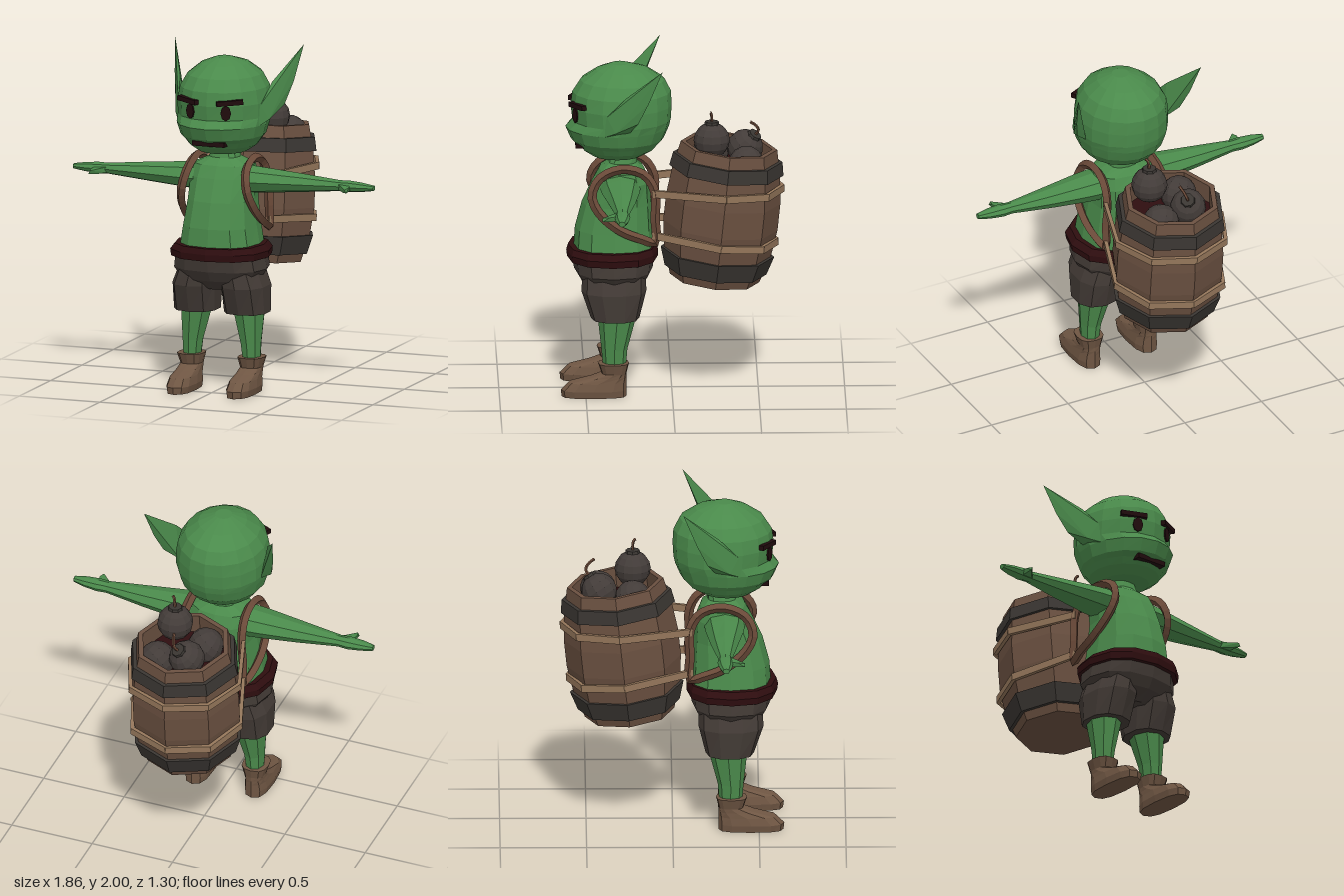
import * as THREE from 'three';
import { ConvexGeometry } from 'three/addons/geometries/ConvexGeometry.js';

const paint = (name, color) => Object.assign(new THREE.MeshStandardMaterial({ color }), { name });
const V = (x, y, z) => new THREE.Vector3(x, y, z);

// Faceted normals for the low-poly look
function flat(g) {
  const out = g.index ? g.toNonIndexed() : g;
  out.computeVertexNormals();
  return out;
}

// Skin through horizontal rings, bottom to top: [y, centreX, radiusX, backZ, frontZ]
function loft(rings, n = 12, power = 1) {
  const pos = [], idx = [];
  const soft = (v) => Math.sign(v) * Math.abs(v) ** power;
  for (const [y, cx, rx, zb, zf] of rings) {
    for (let i = 0; i < n; i++) {
      const a = (i / n) * Math.PI * 2;
      pos.push(cx + rx * soft(Math.sin(a)), y, (zb + zf) / 2 + ((zf - zb) / 2) * soft(Math.cos(a)));
    }
  }
  const last = rings.length - 1;
  for (let r = 0; r < last; r++) {
    for (let i = 0; i < n; i++) {
      const j = (i + 1) % n, a = r * n + i, b = r * n + j;
      idx.push(a, b, b + n, a, b + n, a + n);
    }
  }
  for (const r of [0, last]) {
    const [y, cx, , zb, zf] = rings[r], c = pos.length / 3;
    pos.push(cx, y, (zb + zf) / 2);
    for (let i = 0; i < n; i++) {
      const a = r * n + i, b = r * n + ((i + 1) % n);
      if (r) idx.push(c, a, b); else idx.push(c, b, a);
    }
  }
  const g = new THREE.BufferGeometry();
  g.setAttribute('position', new THREE.Float32BufferAttribute(pos, 3));
  g.setIndex(idx);
  return flat(g);
}

// Eight-sided turned shape from [radius, y] pairs
const turned = (pts) => flat(new THREE.LatheGeometry(pts.map(([r, y]) => new THREE.Vector2(r, y)), 8));

const tube = (pts, segments, radius, sides, closed = false) =>
  flat(new THREE.TubeGeometry(new THREE.CatmullRomCurve3(pts, closed), segments, radius, sides, closed));

export function createModel() {
  const model = new THREE.Group();
  model.name = 'goblinWithBarrel';
  const skin = paint('green skin', 0x4a8a4b);
  const dark = paint('eye black', 0x200b0d);
  const maroon = paint('belt maroon', 0x2e0d0f);
  const cloth = paint('shorts grey brown', 0x423a35);
  const boot = paint('boot brown', 0x6f5643);
  const leather = paint('strap leather', 0x6b4a39);
  const wood = paint('barrel wood', 0x6a5040);
  const rope = paint('light strap', 0x94765a);
  const iron = paint('barrel iron', 0x3a3632);
  const bombGrey = paint('bomb grey', 0x433c39);

  const add = (name, geometry, material, parent = model) => {
    const m = new THREE.Mesh(geometry, material);
    m.name = name;
    parent.add(m);
    return m;
  };

  // Head with overhanging muzzle
  add('head', loft([
    [1.4, 0, 0.14, 0.17, 0.46], [1.44, 0, 0.2, 0.1, 0.52], [1.475, 0, 0.225, 0.07, 0.55],
    [1.5, 0, 0.245, 0.045, 0.585], [1.57, 0, 0.265, 0.015, 0.615], [1.615, 0, 0.27, 0.005, 0.575],
    [1.7, 0, 0.27, 0, 0.585], [1.78, 0, 0.255, 0.005, 0.575], [1.85, 0, 0.215, 0.04, 0.53],
    [1.91, 0, 0.14, 0.13, 0.44], [1.945, 0, 0.05, 0.25, 0.35],
  ], 16), skin);
  add('mouth', flat(new THREE.BoxGeometry(0.2, 0.028, 0.05)), dark).position.set(0, 1.474, 0.533);

  // Neck and torso
  add('torso', loft([
    [0.82, 0, 0.24, 0.1, 0.57], [0.97, 0, 0.215, 0.11, 0.56], [1.12, 0, 0.195, 0.12, 0.52],
    [1.25, 0, 0.195, 0.13, 0.46], [1.32, 0, 0.18, 0.16, 0.42], [1.36, 0, 0.09, 0.2, 0.37],
    [1.43, 0, 0.07, 0.2, 0.35],
  ], 12, 0.8), skin);
  add('belt', loft([[0.79, 0, 0.29, 0.08, 0.605], [0.83, 0, 0.295, 0.08, 0.61], [0.865, 0, 0.265, 0.09, 0.6]], 12, 0.85), maroon);
  add('hips', loft([
    [0.6, 0, 0.08, 0.2, 0.46], [0.66, 0, 0.24, 0.14, 0.53], [0.72, 0, 0.28, 0.11, 0.565], [0.81, 0, 0.265, 0.1, 0.58],
  ], 12, 0.85), cloth);

  for (const s of [1, -1]) {
    const side = s > 0 ? 'left' : 'right';

    // Face details
    const eye = add(side + 'Eye', flat(new THREE.CylinderGeometry(0.045, 0.045, 0.009, 8).rotateX(Math.PI / 2)), dark);
    eye.scale.x = 0.68;
    eye.position.set(s * 0.11, 1.663, 0.56);
    eye.rotation.y = s * 0.43;
    const brow = add(side + 'Brow', flat(new THREE.BoxGeometry(0.155, 0.028, 0.03)), dark);
    brow.position.set(s * 0.13, 1.724, 0.548);
    brow.rotation.set(0, s * 0.5, s * 0.06);

    // Long swept-back ear
    add(side + 'Ear', new ConvexGeometry([
      V(0.24, 1.56, 0.41), V(0.255, 1.69, 0.38), V(0.285, 1.81, 0.27), V(0.4, 2, 0.06),
      V(0.37, 1.8, 0.14), V(0.335, 1.67, 0.2), V(0.25, 1.59, 0.25), V(0.29, 1.6, 0.33),
    ].map((p) => V(s * p.x, p.y, p.z))), skin);

    // Arm, hand and thumb
    const arm = loft([
      [0.12, 0, 0.085, 0.18, 0.42], [0.25, 0, 0.075, 0.19, 0.41], [0.48, 0, 0.055, 0.22, 0.375],
      [0.72, 0, 0.032, 0.26, 0.34], [0.78, 0, 0.034, 0.255, 0.345], [0.86, 0, 0.027, 0.265, 0.34],
      [0.93, 0, 0.016, 0.285, 0.325],
    ], 8).rotateZ(-s * Math.PI / 2).translate(0, 1.235, 0);
    add(side + 'Arm', arm, skin);
    add(side + 'Thumb', new ConvexGeometry([
      V(0.71, 1.25, 0.32), V(0.71, 1.215, 0.32), V(0.79, 1.245, 0.32), V(0.79, 1.215, 0.32),
      V(0.8, 1.24, 0.375), V(0.765, 1.21, 0.375), V(0.8, 1.215, 0.415), V(0.79, 1.235, 0.415),
    ].map((p) => V(s * p.x, p.y, p.z))), skin);

    // Leg, trouser leg and boot
    add(side + 'Trouser', loft([
      [0.46, s * 0.155, 0.13, 0.19, 0.47], [0.62, s * 0.15, 0.135, 0.15, 0.525], [0.71, s * 0.13, 0.12, 0.15, 0.52],
    ], 10, 0.85), cloth);
    add(side + 'Leg', loft([
      [0.16, s * 0.185, 0.05, 0.27, 0.4], [0.28, s * 0.18, 0.062, 0.26, 0.41], [0.5, s * 0.16, 0.1, 0.2, 0.435],
    ], 8), skin);
    add(side + 'Boot', loft([
      [0, s * 0.185, 0.07, 0.265, 0.64], [0.04, s * 0.185, 0.077, 0.265, 0.645], [0.085, s * 0.185, 0.07, 0.265, 0.6],
      [0.115, s * 0.185, 0.064, 0.265, 0.48], [0.14, s * 0.185, 0.062, 0.265, 0.41], [0.2, s * 0.187, 0.078, 0.25, 0.43],
    ], 12, 0.75), boot);

    // Shoulder strap looping round the arm
    add(side + 'ShoulderStrap', tube([
      [0.2, 0.92, 0.1], [0.2, 1.07, 0.1], [0.19, 1.22, 0.1], [0.18, 1.32, 0.16], [0.175, 1.355, 0.29],
      [0.18, 1.3, 0.42], [0.2, 1.2, 0.465], [0.22, 1.1, 0.42], [0.23, 1, 0.3], [0.22, 0.945, 0.17],
    ].map(([x, y, z]) => V(s * x, y, z)), 30, 0.027, 4, true), leather);

    // Light straps tying the barrel on, each half running to the middle of its back
    for (const [name, points] of [
      ['upperTie', [[0.2, 1.215, 0.11], [0.34, 1.215, -0.31], [0.24, 1.2, -0.55], [0, 1.19, -0.64]]],
      ['lowerTie', [[0.2, 0.965, 0.11], [0.335, 0.915, -0.28], [0.24, 0.885, -0.52], [0, 0.87, -0.605]]],
    ]) {
      for (let i = 0; i < 3; i++) {
        const [p, q] = [points[i], points[i + 1]].map(([x, y, z]) => V(s * x, y, z));
        const tie = add(side + name + (i + 1), flat(new THREE.BoxGeometry(0.022, 0.042, p.distanceTo(q) + 0.01)), rope);
        tie.position.copy(p).lerp(q, 0.5);
        tie.lookAt(q);
      }
    }
  }

  // Leaning barrel with iron hoops
  const barrel = new THREE.Group();
  barrel.name = 'barrel';
  barrel.position.set(0, 1.05, -0.29);
  barrel.rotation.x = -0.105;
  model.add(barrel);
  add('staves', turned([
    [0, -0.4], [0.26, -0.4], [0.31, -0.24], [0.332, -0.08], [0.332, 0.08], [0.312, 0.25],
    [0.28, 0.4], [0.25, 0.4], [0.255, 0.27],
  ]), wood, barrel);
  add('barrelInside', flat(new THREE.CircleGeometry(0.265, 8).rotateX(-Math.PI / 2).rotateY(0)), maroon, barrel).position.y = 0.28;
  const hoop = (y0, y1, r0, r1) => turned([[r0 - 0.04, y0], [r0, y0], [r1, y1], [r1 - 0.04, y1]]);
  add('topHoop', hoop(0.25, 0.33, 0.332, 0.318), iron, barrel);
  add('bottomHoop', hoop(-0.35, -0.24, 0.296, 0.33), iron, barrel);

  // Bombs: position and tilt; two of them show fuses
  const bombs = [
    [0.09, 1.505, -0.23, 0, 0], [-0.06, 1.42, -0.425, -0.6, -0.3], [0.12, 1.37, -0.43, 0.2, -0.9], [-0.1, 1.39, -0.23, 0.5, 0.6],
  ];
  bombs.forEach(([x, y, z, rx, rz], i) => {
    const bomb = new THREE.Group();
    bomb.name = 'bomb' + (i + 1);
    bomb.position.set(x, y, z);
    bomb.rotation.set(rx, 0, rz);
    model.add(bomb);
    add('bombShell', flat(new THREE.SphereGeometry(0.105, 12, 8)), bombGrey, bomb);
    if (i > 1) return;
    add('bombCap', flat(new THREE.CylinderGeometry(0.04, 0.045, 0.025, 8)), iron, bomb).position.y = 0.1;
    const bend = i ? 0.075 : 0.015;
    add('fuse', tube([V(0, 0.1, 0), V(0.005, 0.145, 0), V(0.01, 0.165, bend * 0.4), V(0.02, 0.17, bend)], 8, 0.009, 5), leather, bomb);
  });

  return model;
}
